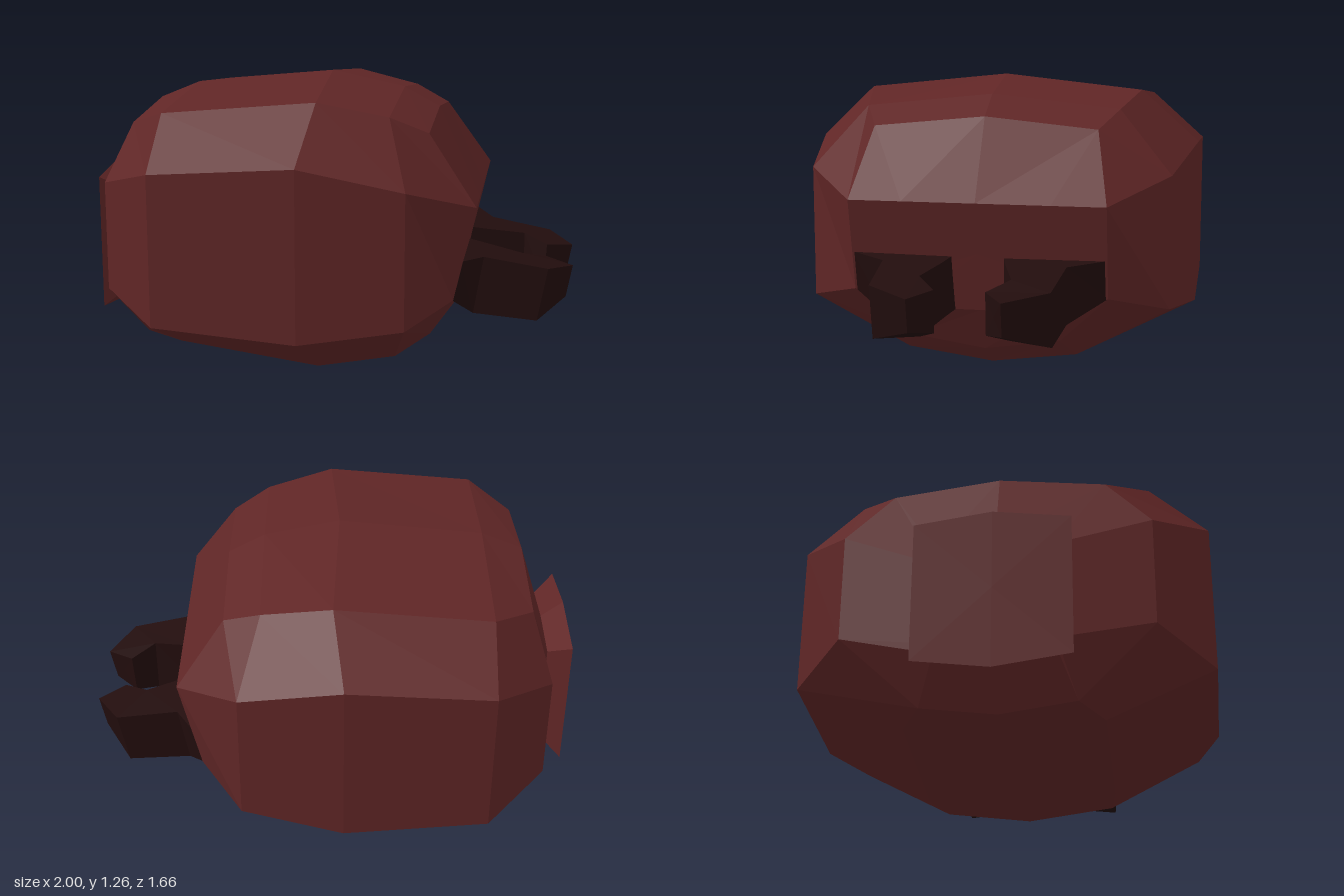
import * as THREE from 'three';

// Skin a list of closed rings (running along +x) into a faceted, capped solid
function loft(rings) {
  const pos = [];
  const tri = (a, b, c) => pos.push(...a, ...b, ...c);
  const n = rings[0].length;
  for (let i = 0; i < rings.length - 1; i++) {
    for (let j = 0; j < n; j++) {
      const k = (j + 1) % n;
      const a = rings[i][j], b = rings[i][k], c = rings[i + 1][k], d = rings[i + 1][j];
      tri(a, b, c);
      tri(a, c, d);
    }
  }
  const cap = (ring, flip) => {
    const mid = [0, 1, 2].map(q => ring.reduce((s, p) => s + p[q], 0) / n);
    ring.forEach((p, j) => {
      const next = ring[(j + 1) % n];
      flip ? tri(mid, next, p) : tri(mid, p, next);
    });
  };
  cap(rings[0], true);
  cap(rings[rings.length - 1], false);
  const geo = new THREE.BufferGeometry();
  geo.setAttribute('position', new THREE.Float32BufferAttribute(pos, 3));
  geo.computeVertexNormals();
  return geo;
}

const flipZ = ([x, y, z]) => [x, y, -z];
// Half ring from top centre to bottom centre, completed by mirroring in z
const mirrorRing = half => [...half, ...half.slice(1, -1).reverse().map(flipZ)];

export function createModel() {
  const shell = new THREE.MeshStandardMaterial({ color: 0x602626 });
  shell.name = 'darkRedShell';
  const jaw = new THREE.MeshStandardMaterial({ color: 0x220d0d });
  jaw.name = 'blackJaw';
  shell.flatShading = jaw.flatShading = true;

  const group = new THREE.Group();
  group.name = 'insectHead';
  const add = (name, geo, mat) => {
    const mesh = new THREE.Mesh(geo, mat);
    mesh.name = name;
    group.add(mesh);
  };

  // Head shell: cross-sections from the neck to the face
  const head = [
    [[-0.91, 0.79, 0], [-0.91, 0.76, 0.23], [-0.91, 0.7, 0.23], [-0.91, 0.36, 0.23], [-0.91, 0.32, 0.23], [-0.91, 0.29, 0]],
    [[-0.8, 1.13, 0], [-0.8, 1.08, 0.42], [-0.87, 0.86, 0.6], [-0.87, 0.42, 0.6], [-0.8, 0.15, 0.3], [-0.8, 0.11, 0]],
    [[-0.63, 1.2, 0], [-0.63, 1.145, 0.59], [-0.63, 0.94, 0.82], [-0.63, 0.33, 0.82], [-0.63, 0.14, 0.39], [-0.63, 0.085, 0]],
    [[-0.04, 1.26, 0], [-0.01, 1.2, 0.59], [-0.05, 0.98, 0.83], [-0.05, 0.29, 0.83], [-0.04, 0.06, 0.39], [-0.04, 0, 0]],
    [[0.27, 1.195, 0], [0.27, 1.14, 0.53], [0.36, 0.885, 0.75], [0.36, 0.34, 0.75], [0.28, 0.11, 0.36], [0.27, 0.06, 0]],
    [[0.42, 1.115, 0], [0.42, 1.07, 0.46], [0.615, 0.79, 0.52], [0.53, 0.41, 0.52], [0.42, 0.2, 0.31], [0.42, 0.155, 0]],
    [[0.615, 0.79, 0], [0.615, 0.79, 0.3], [0.615, 0.79, 0.52], [0.53, 0.41, 0.52], [0.52, 0.34, 0.3], [0.52, 0.34, 0]],
  ];
  add('headShell', loft(head.map(mirrorRing)), shell);

  // Flared neck collar
  const collar = [
    [[-1, 0.86, 0], [-1, 0.82, 0.3], [-1, 0.25, 0.3], [-1, 0.21, 0]],
    [[-0.91, 0.79, 0], [-0.91, 0.76, 0.23], [-0.91, 0.32, 0.23], [-0.91, 0.29, 0]],
  ];
  add('neckCollar', loft(collar.map(mirrorRing)), shell);

  // Hooked mandibles: top inner, top outer, bottom outer, bottom inner
  const mandible = [
    [[0.54, 0.57, 0.1], [0.56, 0.57, 0.52], [0.525, 0.41, 0.52], [0.51, 0.34, 0.1]],
    [[0.63, 0.555, 0.125], [0.64, 0.555, 0.37], [0.6, 0.315, 0.365], [0.6, 0.33, 0.12]],
    [[0.79, 0.53, 0.18], [0.9, 0.51, 0.35], [0.86, 0.29, 0.35], [0.79, 0.29, 0.18]],
    [[0.89, 0.5, 0.1], [1, 0.485, 0.18], [0.975, 0.35, 0.18], [0.88, 0.33, 0.1]],
  ];
  add('frontMandible', loft(mandible), jaw);
  add('backMandible', loft(mandible.map(r => r.map(flipZ).reverse())), jaw);

  return group;
}
